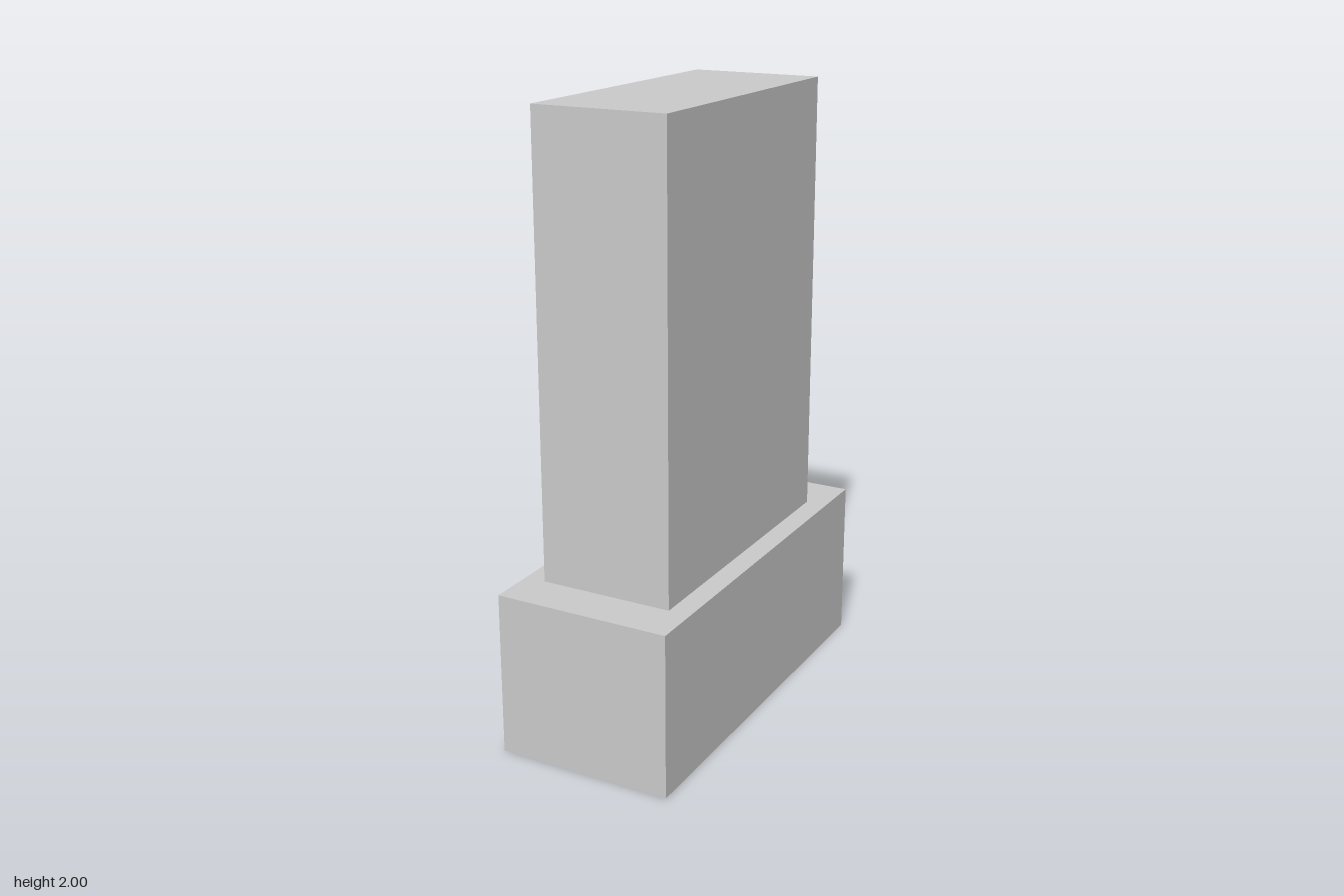
import * as THREE from 'three';

const material = new THREE.MeshStandardMaterial({ color: 0xcccccc, flatShading: true });

// Box resting on the height y
function block(name, width, height, depth, x, y, z) {
  const mesh = new THREE.Mesh(new THREE.BoxGeometry(width, height, depth), material);
  mesh.name = name;
  mesh.position.set(x, y + height / 2, z);
  return mesh;
}

export function createModel() {
  const group = new THREE.Group();
  group.name = 'pillarOnPlinth';
  const baseHeight = 0.534;

  // Wide plinth
  group.add(block('plinth', 0.58, baseHeight, 1.325, 0, 0, 0));

  // Tall slab, set slightly off centre on the plinth
  group.add(block('pillar', 0.44, 2 - baseHeight, 0.998, -0.002, baseHeight, 0.012));

  return group;
}
